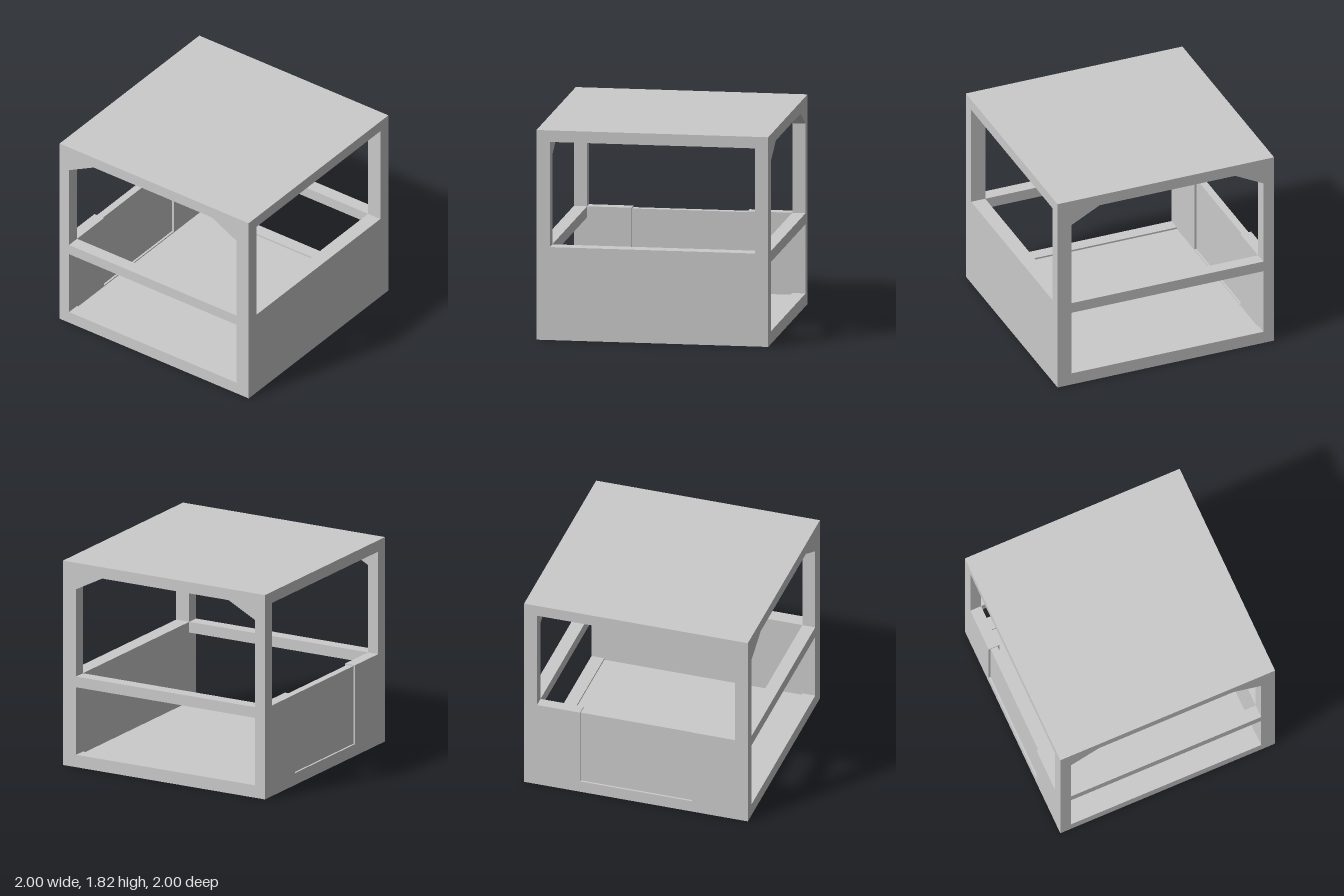
import * as THREE from 'three';

const material = new THREE.MeshStandardMaterial({ color: 0xcccccc, flatShading: true });

const H = 1.815;       // overall height
const SILL = 0.805;    // top of the front and back walls
const CEIL = 1.715;    // underside of the roof
const IN = 0.885;      // inner face of the side frames
const ZF = 0.87;       // inner face of the front wall
const ZB = -0.9;       // inner face of the back wall
const FLOOR = 0.095;

function path(points, Type = THREE.Path) {
  return new Type(points.map(([a, b]) => new THREE.Vector2(a, b)));
}

// Box given by its extents on each axis
function block(name, [x0, x1], [y0, y1], [z0, z1]) {
  const mesh = new THREE.Mesh(new THREE.BoxGeometry(x1 - x0, y1 - y0, z1 - z0), material);
  mesh.position.set((x0 + x1) / 2, (y0 + y1) / 2, (z0 + z1) / 2);
  mesh.name = name;
  return mesh;
}

// Side frame drawn in (z, y): a lower opening and an upper one with braced corners
function sideFrameGeometry() {
  const frame = path([[-1, 0], [1, 0], [1, H], [-1, H]], THREE.Shape);
  frame.holes.push(
    path([[ZB, 0.11], [ZB, 0.71], [ZF, 0.71], [ZF, 0.11]]),
    path([[ZB, SILL], [ZB, 1.58], [-0.64, CEIL], [0.61, CEIL], [ZF, 1.58], [ZF, SILL]]),
  );
  const geometry = new THREE.ExtrudeGeometry(frame, { depth: 1 - IN, bevelEnabled: false });
  return geometry.rotateY(-Math.PI / 2);
}

export function createModel() {
  const model = new THREE.Group();
  model.name = 'openBooth';

  // Side frames, which include the corner posts
  const sideGeometry = sideFrameGeometry();
  for (const [name, x] of [['leftFrame', 1], ['rightFrame', -IN]]) {
    const side = new THREE.Mesh(sideGeometry, material);
    side.position.x = x;
    side.name = name;
    model.add(side);
  }

  // Floor, roof and front wall between the frames
  model.add(
    block('floor', [-IN, IN], [0, FLOOR], [ZB, ZF]),
    block('roof', [-IN, IN], [CEIL, H], [-1, 1]),
    block('frontWall', [-IN, IN], [0, SILL], [ZF, 1]),
  );

  // Back wall with a doorway and a door recessed on both faces
  const back = new THREE.Group();
  back.name = 'backWall';
  back.add(
    block('backWallLeft', [0.5, IN], [0, SILL], [-1, ZB]),
    block('backWallRight', [-IN, -0.5], [0, SILL], [-1, ZB]),
    block('threshold', [-0.5, 0.5], [0, 0.105], [-1, ZB]),
    block('door', [-0.5, 0.5], [0.105, 0.795], [-0.982, -0.918]),
  );
  model.add(back);

  return model;
}
